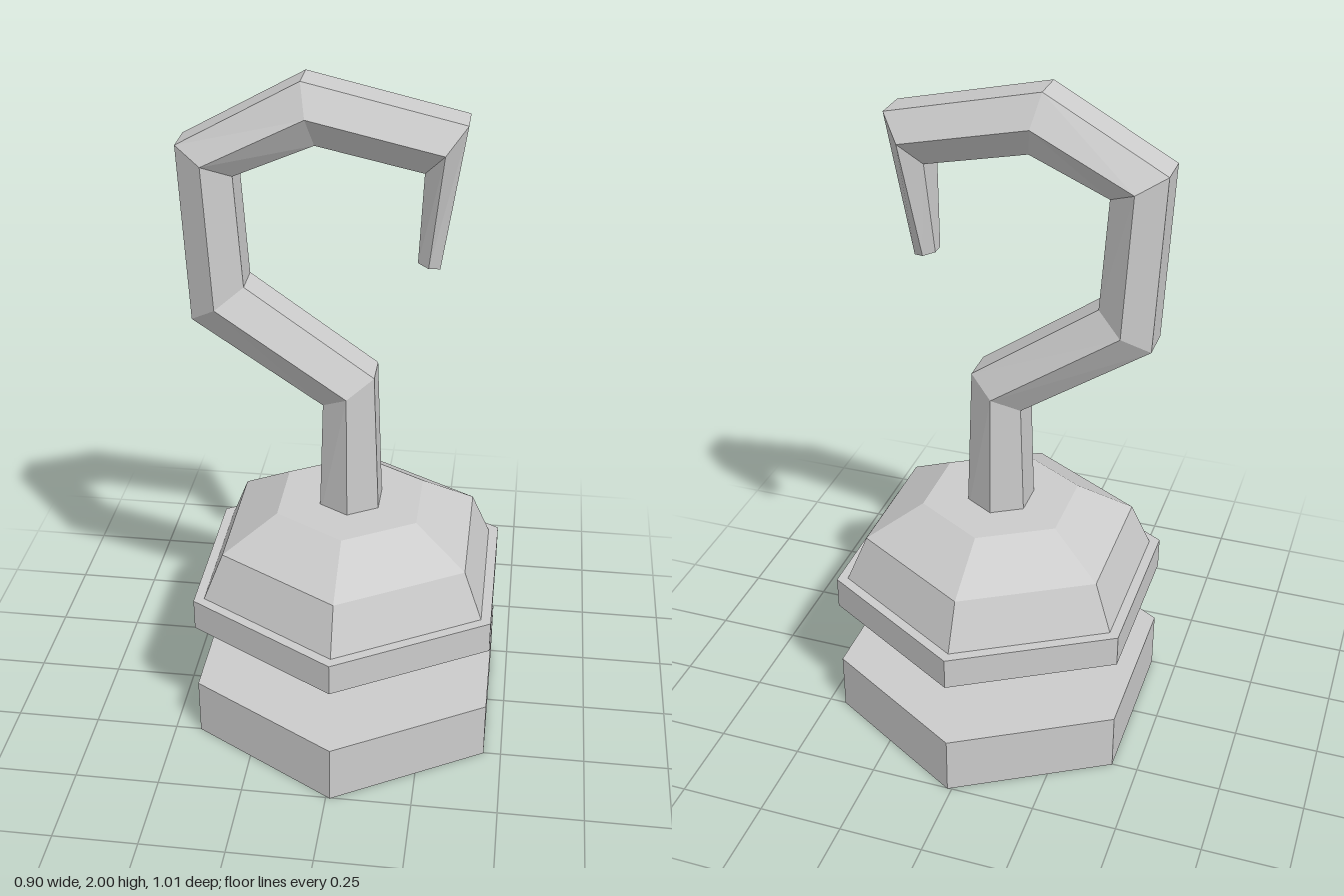
import * as THREE from 'three';

const material = new THREE.MeshStandardMaterial({ color: 0xcccccc, flatShading: true });
const AXIS_X = 0.0125;

// Hexagonal slab or frustum, one corner facing the front
function hexSlab(name, bottomRadius, topRadius, y0, y1) {
  const geometry = new THREE.CylinderGeometry(topRadius, bottomRadius, y1 - y0, 6);
  const mesh = new THREE.Mesh(geometry, material);
  mesh.name = name;
  mesh.position.set(AXIS_X, (y0 + y1) / 2, 0);
  return mesh;
}

// Each section: outer edge x, y, inner edge x, y, half depth at its widest
function hexSweep(sections) {
  const positions = [];
  const index = [];
  for (const [ax, ay, bx, by, d] of sections) {
    const cx = (ax + bx) / 2, cy = (ay + by) / 2;
    positions.push(
      ax, ay, d / 2, cx, cy, d, bx, by, d / 2,
      bx, by, -d / 2, cx, cy, -d, ax, ay, -d / 2
    );
  }
  const last = (sections.length - 1) * 6;
  for (let row = 0; row < last; row += 6) {
    for (let k = 0; k < 6; k++) {
      const a = row + k, b = row + (k + 1) % 6;
      index.push(a, b, b + 6, a, b + 6, a + 6);
    }
  }
  // End caps
  for (let k = 1; k < 5; k++) {
    index.push(0, k + 1, k, last, last + k, last + k + 1);
  }
  const geometry = new THREE.BufferGeometry();
  geometry.setAttribute('position', new THREE.Float32BufferAttribute(positions, 3));
  geometry.setIndex(index);
  const flat = geometry.toNonIndexed();
  flat.computeVertexNormals();
  return flat;
}

export function createModel() {
  const model = new THREE.Group();
  model.name = 'hook';

  // Base plate and the cup above it
  model.add(hexSlab('basePlate', 0.503, 0.503, 0, 0.18));
  const cup = new THREE.Group();
  cup.name = 'cup';
  cup.add(
    hexSlab('cupRim', 0.503, 0.503, 0.39, 0.487),
    hexSlab('cupLowerDome', 0.47, 0.408, 0.487, 0.626),
    hexSlab('cupUpperDome', 0.408, 0.235, 0.626, 0.727)
  );
  model.add(cup);

  // Stem between the plates
  model.add(hexSlab('stem', 0.1, 0.1, 0.15, 0.7));

  // Bent hook, tapering to a blunt tip
  const hook = new THREE.Mesh(hexSweep([
    [-0.075, 0.68, 0.1, 0.68, 0.102],
    [-0.063, 1.06, 0.083, 1.155, 0.102],
    [-0.43, 1.31, -0.28, 1.415, 0.102],
    [-0.452, 1.815, -0.3, 1.735, 0.102],
    [-0.115, 2.0, -0.08, 1.83, 0.102],
    [0.32, 1.9, 0.21, 1.767, 0.102],
    [0.256, 1.485, 0.195, 1.5, 0.038]
  ]), material);
  hook.name = 'curvedHook';
  model.add(hook);

  return model;
}
